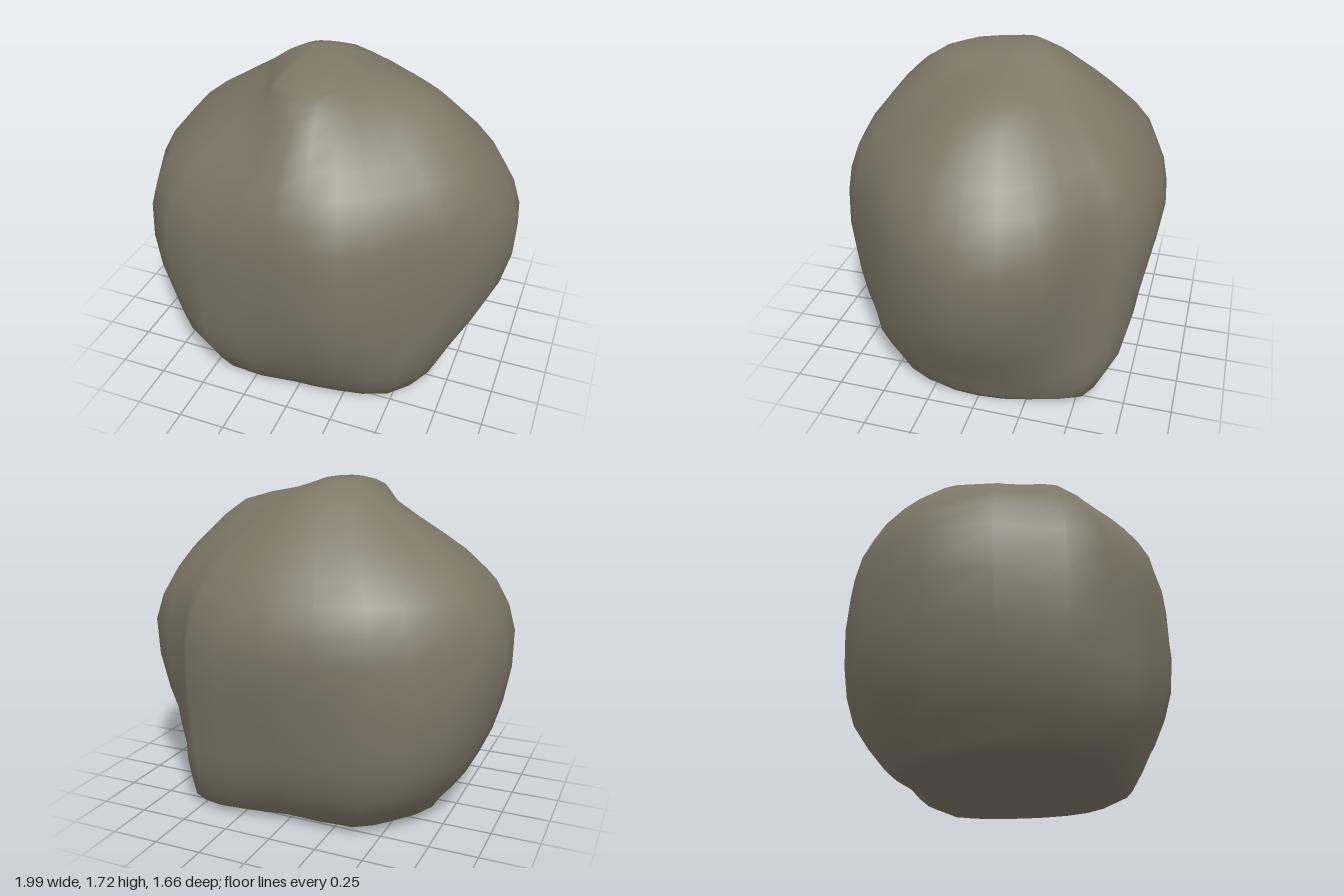
import * as THREE from 'three';

// Compass directions in degrees: 0 is left (+x), 90 is front (+z)
const angles = [0, 23, 46, 69, 92, 122, 149, 188, 211, 235, 270, 301, 316, 337];

// Cross-sections: height, then the radius in each direction
const sections = [
  [0, [0.65, 0.66, 0.62, 0.54, 0.51, 0.6, 0.67, 0.65, 0.6, 0.58, 0.46, 0.57, 0.69, 0.66]],
  [0.04, [0.67, 0.7, 0.7, 0.62, 0.6, 0.72, 0.73, 0.67, 0.65, 0.65, 0.55, 0.7, 0.77, 0.69]],
  [0.25, [0.77, 0.79, 0.8, 0.75, 0.71, 0.84, 0.88, 0.83, 0.85, 0.82, 0.68, 0.81, 0.81, 0.78]],
  [0.55, [0.93, 0.88, 0.83, 0.86, 0.79, 0.87, 0.97, 0.95, 0.95, 0.89, 0.75, 0.85, 0.81, 0.89]],
  [0.95, [0.985, 0.91, 0.83, 0.87, 0.81, 0.87, 0.98, 1.01, 0.95, 0.89, 0.83, 0.86, 0.81, 0.945]],
  [1.21, [0.88, 0.85, 0.78, 0.8, 0.78, 0.76, 0.87, 0.91, 0.86, 0.81, 0.75, 0.77, 0.75, 0.83]],
  [1.42, [0.7, 0.67, 0.61, 0.63, 0.65, 0.56, 0.61, 0.68, 0.64, 0.61, 0.59, 0.57, 0.57, 0.63]],
  [1.58, [0.5, 0.44, 0.39, 0.43, 0.5, 0.42, 0.37, 0.42, 0.42, 0.41, 0.4, 0.37, 0.37, 0.43]],
  [1.66, [0.18, 0.18, 0.21, 0.29, 0.39, 0.37, 0.29, 0.31, 0.31, 0.3, 0.28, 0.22, 0.19, 0.17]],
];

// Smooth closed ring through the radii of one section
function ring(y, radii) {
  const points = radii.map((r, i) => {
    const a = THREE.MathUtils.degToRad(angles[i]);
    return new THREE.Vector3(r * Math.cos(a), y, r * Math.sin(a));
  });
  return new THREE.CatmullRomCurve3(points, true).getPoints(angles.length * 2).slice(0, -1);
}

function boulderGeometry() {
  const apex = new THREE.Vector3(-0.12, 1.72, -0.05);
  const [base, ...upper] = sections.map(([y, radii]) => ring(y, radii));
  // Small level crown around the apex
  upper.push(upper.at(-1).map((p) => p.clone().lerp(apex, 0.6).setY(apex.y)));

  // Rounded meridians above the crisp base edge
  const meridians = base.map((p, i) => [
    p, ...new THREE.CatmullRomCurve3(upper.map((r) => r[i])).getPoints((upper.length - 1) * 2),
  ]);

  const n = meridians.length, m = meridians[0].length;
  const points = [...meridians.flat(), new THREE.Vector3(), apex];
  const bottom = n * m, top = bottom + 1;
  const index = [];
  for (let i = 0; i < n; i++) {
    const a = i * m, b = ((i + 1) % n) * m;
    // Sides
    for (let k = 0; k < m - 1; k++) {
      index.push(a + k, a + k + 1, b + k, b + k, a + k + 1, b + k + 1);
    }
    // Flat underside and crown
    index.push(bottom, a, b, top, b + m - 1, a + m - 1);
  }
  const g = new THREE.BufferGeometry().setFromPoints(points);
  g.setIndex(index);
  g.computeVertexNormals();
  return g;
}

export function createModel() {
  const group = new THREE.Group();
  group.name = 'rock';
  const stone = new THREE.MeshStandardMaterial({ color: 0x7c7666 });
  stone.name = 'stone';
  const boulder = new THREE.Mesh(boulderGeometry(), stone);
  boulder.name = 'boulder';
  group.add(boulder);
  return group;
}
